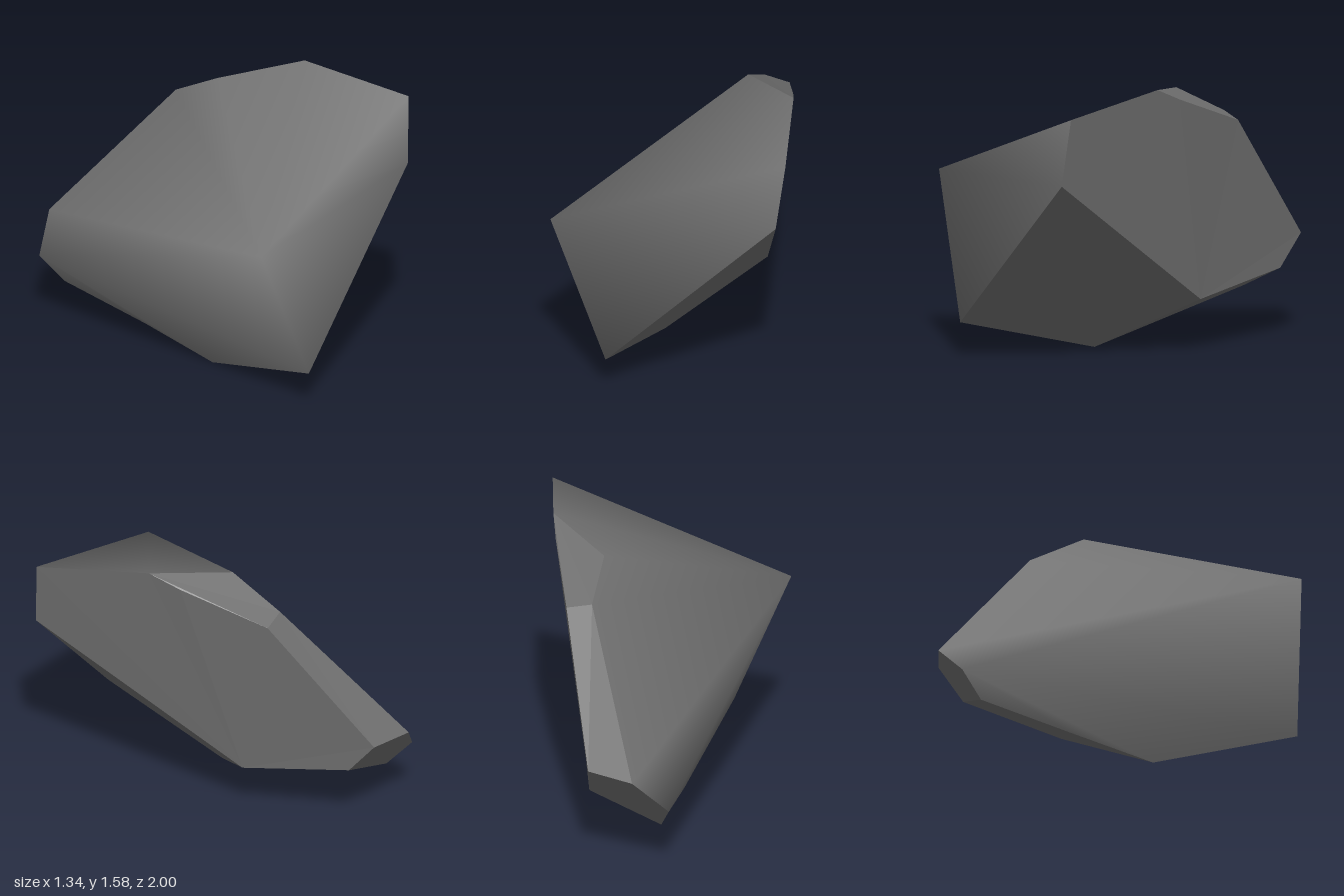
import * as THREE from 'three';

// Corners of the boulder
const P = {
  A: [-0.63, 1.0, 1.0], B: [-0.29, 0.2, 1.0], C: [-0.32, 0, 0.2], D: [0.63, 1.12, 0.74],
  E: [0.67, 1.5, 0.7], F: [0.42, 1.58, 0.1], G: [0.01, 1.5, -0.16], H: [-0.04, 1.34, -0.46],
  I: [0.1, 1.31, -0.49], J: [-0.23, 0.58, -0.98], K: [-0.5, 0.56, -1.0], L: [-0.67, 0.37, -0.88],
  M: [-0.58, 0.23, -0.77], N: [-0.18, 0.4, -0.84], O: [0.07, 0.31, -0.28], Q: [-0.43, 0.11, -0.25],
  R: [0.34, 1.5, -0.06],
};
const names = Object.keys(P);
const corner = (k) => new THREE.Vector3(...P[k]);
const centre = new THREE.Vector3(0, 0.8, 0);

// Fan each convex facet into triangles, all wound to face outward
function facets(list, smooth) {
  const index = [];
  for (const face of list) {
    const mid = new THREE.Vector3(), normal = new THREE.Vector3();
    const pts = [...face].map(corner);
    pts.forEach((p, i) => {
      mid.addScaledVector(p, 1 / pts.length);
      normal.add(p.clone().cross(pts[(i + 1) % pts.length]));
    });
    const ids = [...face].map((k) => names.indexOf(k));
    if (normal.dot(mid.sub(centre)) < 0) ids.reverse();
    for (let i = 1; i < ids.length - 1; i++) index.push(ids[0], ids[i], ids[i + 1]);
  }
  let geo = new THREE.BufferGeometry();
  geo.setAttribute('position', new THREE.Float32BufferAttribute(Object.values(P).flat(), 3));
  geo.setIndex(index);
  if (!smooth) geo = geo.toNonIndexed();
  geo.computeVertexNormals();
  return geo;
}

export function createModel() {
  const group = new THREE.Group();
  group.name = 'boulder';
  const stone = new THREE.MeshStandardMaterial({ color: 0x707070 });
  stone.name = 'grey stone';

  const add = (name, list, smooth) => {
    const mesh = new THREE.Mesh(facets(list, smooth), stone);
    mesh.name = name;
    group.add(mesh);
  };

  // Worn faces, shaded smoothly into one another: top, upper side, lower side, front
  add('wornFaces', ['AEFG', 'AGHK', 'AKL', 'ABCQML', 'ABDE'], true);
  // Cleanly split faces: big flat side, underside, base, back tip, back bevels
  add('splitFaces', ['DEFRIJNO', 'BCOD', 'CONMQ', 'JKLMN', 'HIJK', 'FRIHG'], false);
  return group;
}
